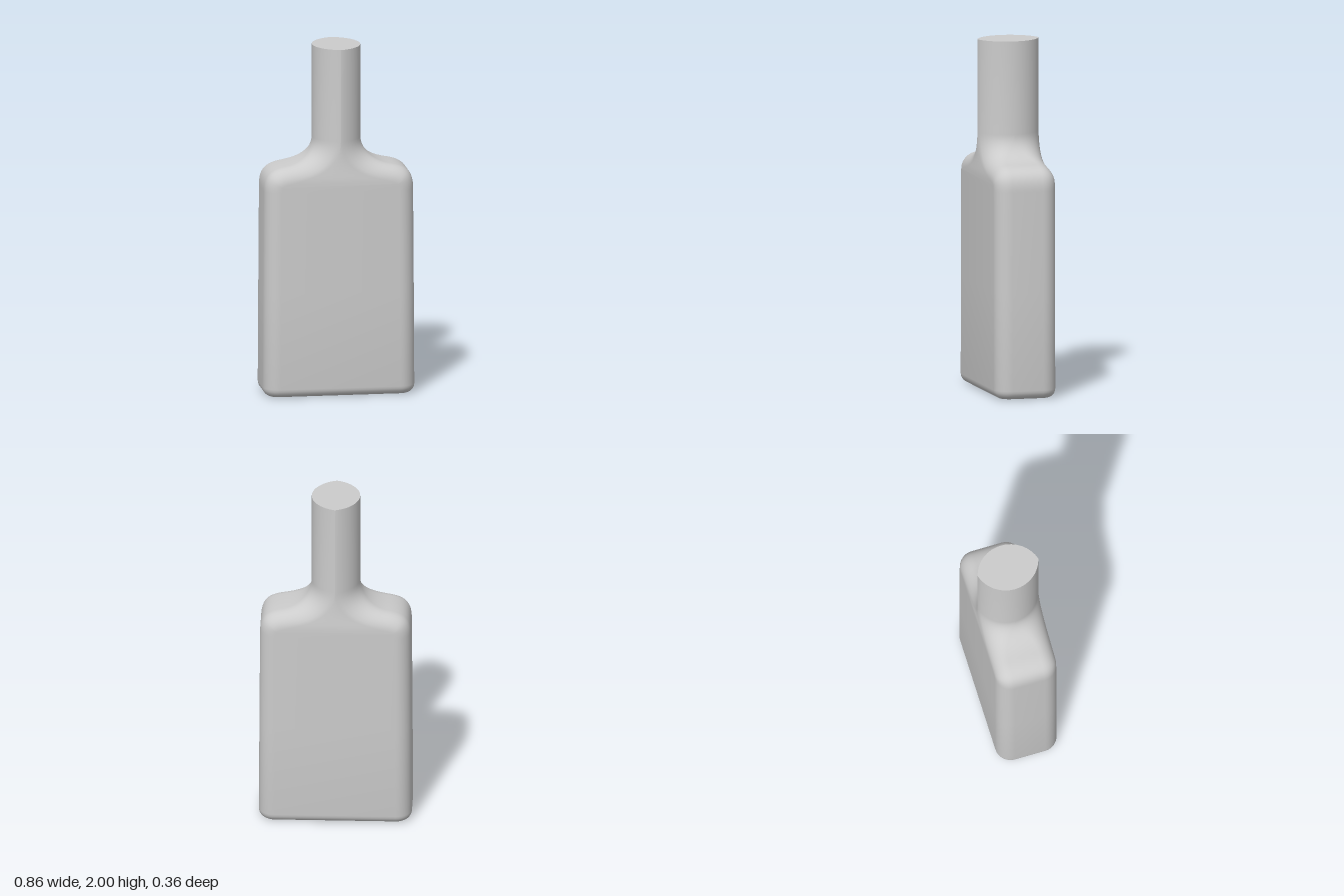
import * as THREE from 'three';
import { toCreasedNormals } from 'three/addons/utils/BufferGeometryUtils.js';

const DEPTH = 0.179;      // half depth, the same for body and neck
const NECK = 0.137;       // half width of the neck
const EDGE = 0.09;        // rounding of the body's upright edges
const BASE = 0.05;        // rounding around the foot
const ARC = 8;            // segments per rounded edge
const lerp = THREE.MathUtils.lerp;

// One closed ring: rounded edges of radius r that take up a depth of a,
// inset from the outline point p along the inward direction n.
function ring(p, n, r, a, depth) {
  const right = [];
  const max = Math.asin(Math.min(1, a / r));
  for (const side of [-1, 1]) {
    for (let i = 0; i <= ARC; i++) {
      const t = max * (side < 0 ? 1 - i / ARC : i / ARC);
      const inset = r * (1 - Math.cos(t));
      right.push([p.x + n.x * inset, p.y + n.y * inset, side * (depth - a + r * Math.sin(t))]);
    }
  }
  const left = right.map(([x, y, z]) => [-x, y, z]).reverse();
  return [...right, ...left];
}

// Skins a stack of rings and closes both ends
function loft(rings) {
  const pos = [];
  const tri = (a, b, c) => {
    const [u, v, w] = [a, b, c].map((q) => new THREE.Vector3(...q));
    if (v.sub(u).cross(w.sub(u)).length() > 1e-9) pos.push(...a, ...b, ...c);
  };
  const count = rings[0].length;
  const foot = [0, rings[0][0][1], 0];
  const last = rings[rings.length - 1];
  const top = [0, last[0][1], 0];
  for (let j = 0; j < count; j++) {
    const k = (j + 1) % count;
    for (let i = 0; i < rings.length - 1; i++) {
      const lo = rings[i], hi = rings[i + 1];
      tri(lo[j], hi[j], lo[k]);
      tri(lo[k], hi[j], hi[k]);
    }
    tri(foot, rings[0][j], rings[0][k]);
    tri(top, last[k], last[j]);
  }
  const geo = new THREE.BufferGeometry();
  geo.setAttribute('position', new THREE.Float32BufferAttribute(pos, 3));
  // enlarged while creasing, so that close vertices stay apart
  geo.scale(100, 100, 100);
  const creased = toCreasedNormals(geo, 0.65);
  creased.scale(0.01, 0.01, 0.01);
  return creased;
}

export function createModel() {
  const rings = [];
  const inward = new THREE.Vector2(-1, 0);

  // rounded foot
  for (let i = 0; i < 6; i++) {
    const t = (i / 6) * Math.PI / 2;
    const inset = BASE * (1 - Math.sin(t));
    const p = new THREE.Vector2(0.432 - inset, BASE * (1 - Math.cos(t)));
    rings.push(ring(p, inward, EDGE - inset, EDGE - inset, DEPTH - inset));
  }

  // straight body sides
  for (const [x, y] of [[0.432, BASE], [0.429, 0.6]]) {
    rings.push(ring(new THREE.Vector2(x, y), inward, EDGE, EDGE, DEPTH));
  }

  // shoulder, then the sweep into the neck, where the edges grow into a lens section
  const V = (x, y) => new THREE.Vector2(x, y);
  const shoulder = new THREE.CubicBezierCurve(V(0.425, 1.18), V(0.425, 1.275), V(0.385, 1.305), V(0.3, 1.32));
  const sweep = new THREE.CubicBezierCurve(V(0.3, 1.32), V(0.2, 1.337), V(NECK, 1.39), V(NECK, 1.47));
  const tip = NECK - 0.0005;
  const lensRadius = (DEPTH * DEPTH + tip * tip) / (2 * tip);
  const steps = 16;
  [shoulder, sweep].forEach((curve, part) => {
    for (let i = part; i <= steps; i++) {
      const t = i / steps;
      const d = curve.getTangent(t);
      const k = part ? THREE.MathUtils.smoothstep(t, 0, 1) : 0;
      rings.push(ring(curve.getPoint(t), V(-d.y, d.x), lerp(EDGE, lensRadius, k), lerp(EDGE, DEPTH, k), DEPTH));
    }
  });

  // neck
  rings.push(ring(V(NECK, 2), inward, lensRadius, DEPTH, DEPTH));

  const bottle = new THREE.Mesh(loft(rings), new THREE.MeshStandardMaterial({ color: 0xcccccc }));
  bottle.name = 'bottle';
  const group = new THREE.Group();
  group.name = 'flatBottle';
  group.add(bottle);
  return group;
}
